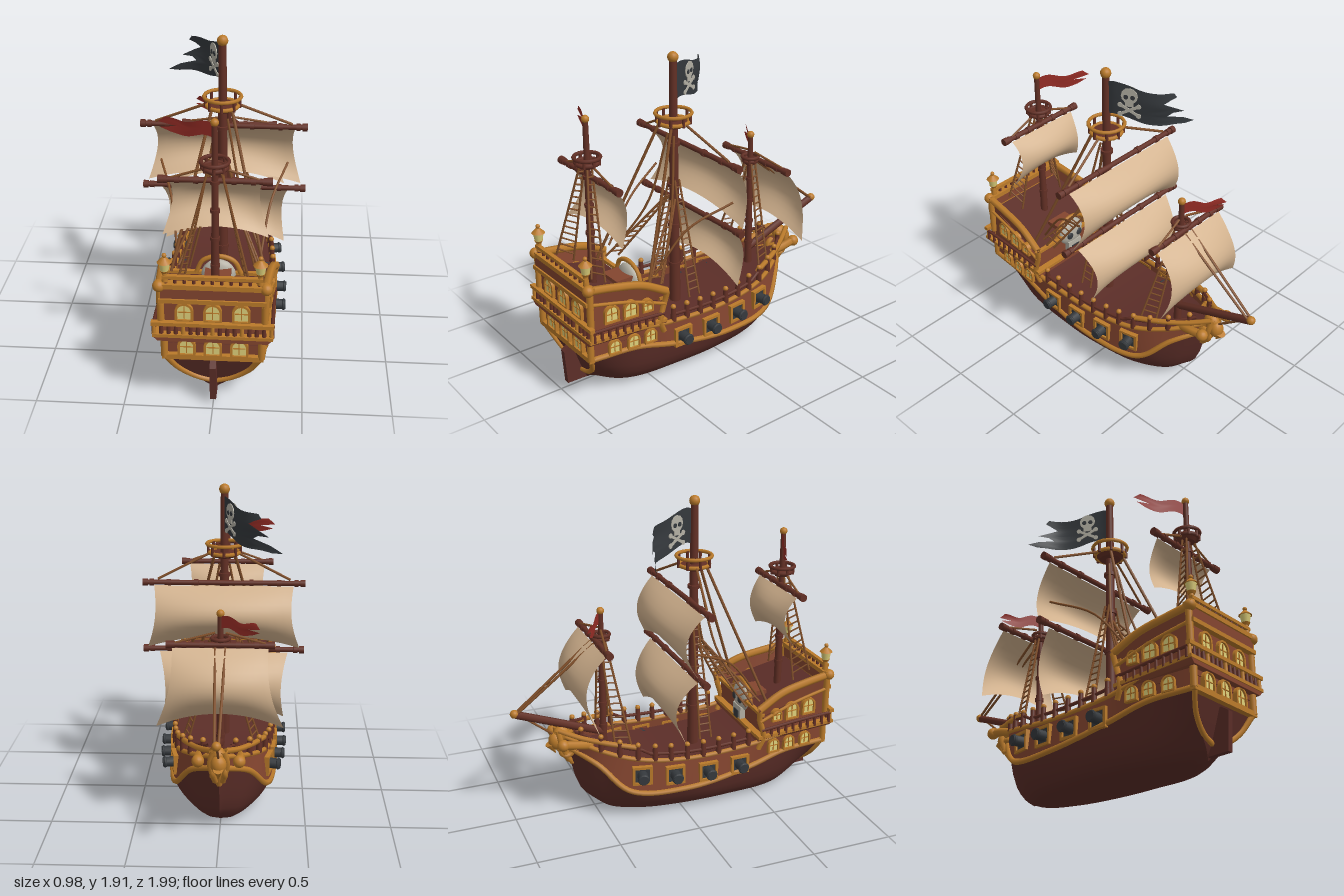
import * as THREE from 'three';

const V = (x, y, z) => new THREE.Vector3(x, y, z);
const lerp = THREE.MathUtils.lerp;
const paint = (name, color) => Object.assign(new THREE.MeshStandardMaterial({ color, side: THREE.DoubleSide }), { name });
const hullRed = paint('dark hull', 0x5c2e28), plank = paint('plank', 0x84452f), wood = paint('mast wood', 0x633025);
const gold = paint('gold trim', 0xba7a2a), canvas = paint('canvas', 0xd2b28e), iron = paint('iron', 0x35393d);
const glass = paint('window glass', 0xded07a), red = paint('red cloth', 0x942c25), rope = paint('rope', 0x82502a), bone = paint('bone', 0xb4b0a4);

export function createModel() {
  const ship = new THREE.Group();
  ship.name = 'ship';
  const add = (name, geo, mat, x = 0, y = 0, z = 0, parent = ship) => {
    const m = new THREE.Mesh(geo, mat);
    m.name = name;
    m.position.set(x, y, z);
    parent.add(m);
    return m;
  };
  const box = (name, mat, w, h, d, x, y, z, p) => add(name, new THREE.BoxGeometry(w, h, d), mat, x, y, z, p);
  const cyl = (name, mat, r1, r2, h, x, y, z, p) => add(name, new THREE.CylinderGeometry(r1, r2, h, 12), mat, x, y, z, p);
  const ball = (name, mat, r, x, y, z, p) => add(name, new THREE.SphereGeometry(r, 14, 10), mat, x, y, z, p);
  const tube = (name, mat, pts, r, seg = 40) => add(name, new THREE.TubeGeometry(new THREE.CatmullRomCurve3(pts), seg, r, 6), mat);
  const line = (name, mat, a, b, r = 0.007) => tube(name, mat, [a, b], r, 1);
  const ring = (name, mat, R, r, x, y, z) => { add(name, new THREE.TorusGeometry(R, r, 6, 20), mat, x, y, z).rotation.x = Math.PI / 2; };

  // Surface through rows of points
  const grid = (name, mat, rows, flip) => {
    const n = rows[0].length, idx = [];
    for (let i = 0; i < rows.length - 1; i++) for (let j = 0; j < n - 1; j++) {
      const a = i * n + j, b = a + 1, c = a + n, d = c + 1;
      if (flip) idx.push(a, c, b, b, c, d); else idx.push(a, b, c, b, d, c);
    }
    const g = new THREE.BufferGeometry().setFromPoints(rows.flat());
    g.setIndex(idx);
    g.computeVertexNormals();
    return add(name, g, mat);
  };
  // Box whose aft and fore ends are each [half width low, half width high, y0, y1, z]
  const taper = (name, mat, aft, fore) => {
    const g = new THREE.BoxGeometry(2, 2, 2), p = g.attributes.position;
    for (let i = 0; i < p.count; i++) {
      const e = p.getZ(i) > 0 ? aft : fore, up = p.getY(i) > 0 ? 1 : 0;
      p.setXYZ(i, p.getX(i) * e[up], e[2 + up], e[4]);
    }
    g.computeVertexNormals();
    return add(name, g, mat);
  };

  // Hull lines, stern to bow: keel, chine, bilge, wale, sheer
  const levels = [
    [[0, 0, .82], [0, 0, .65], [0, 0, .3], [0, 0, 0], [0, 0, -.25], [0, 0, -.4], [0, 0, -.45]],
    [[.06, .06, .85], [.15, 0, .65], [.2, 0, .3], [.2, 0, 0], [.16, 0, -.25], [.07, 0, -.42], [0, .02, -.48]],
    [[.17, .16, .885], [.24, .09, .65], [.28, .08, .3], [.28, .08, 0], [.23, .08, -.3], [.12, .1, -.48], [0, .13, -.585]],
    [[.27, .3, .93], [.295, .29, .65], [.315, .23, .4], [.32, .17, 0], [.27, .19, -.35], [.165, .35, -.52], [0, .43, -.67]],
    [[.265, .44, .94], [.31, .42, .65], [.31, .38, .4], [.3, .36, 0], [.26, .39, -.3], [.17, .44, -.5], [.02, .5, -.68]],
  ].map(l => new THREE.CatmullRomCurve3(l.map(p => V(...p))));
  const N = 40, ts = Array.from({ length: N + 1 }, (_, j) => j / N);
  const flipX = (p, s) => V(p.x * s, p.y, p.z);
  const lower = ts.map(t => new THREE.CatmullRomCurve3(levels.slice(0, 4).map(c => c.getPoint(t))).getPoints(9));
  const sheer = ts.map(t => levels[4].getPoint(t)), wale = ts.map(t => levels[3].getPoint(t));
  for (const s of [1, -1]) {
    grid('lowerHull', hullRed, Array.from({ length: 10 }, (_, i) => lower.map(c => flipX(c[i], s))), s < 0);
    grid('upperHull', plank, [wale, sheer].map(r => r.map(p => flipX(p, s))), s < 0);
    tube('wale', gold, wale.map(p => flipX(p, s)), .018, 60);
    tube('sheerRail', gold, sheer.map(p => flipX(p, s)), .015, 60);
    tube('sternTrim', gold, [V(s * .26, .29, .94), V(s * .2, .19, .9), V(s * .1, .11, .87), V(0, .075, .86)], .016, 16);
  }
  grid('transomLow', hullRed, lower[0].map(p => [flipX(p, -1), p]));
  grid('transomHigh', plank, [wale[0], sheer[0]].map(p => [flipX(p, -1), p]));
  grid('mainDeck', hullRed, [-1, 1].map(s => sheer.map(p => V(p.x * s * .99, p.y - .06, p.z))), true);
  tube('stem', gold, [V(0, .31, -.63), V(0, .42, -.675), V(0, .5, -.7)], .02, 20);
  const rud = new THREE.Shape([[.81, .015], [.96, .02], [.975, .24], [.93, .27], [.86, .26]].map(p => new THREE.Vector2(...p)));
  const rudder = add('rudder', new THREE.ExtrudeGeometry(rud, { depth: .035, bevelEnabled: false }), hullRed, .0175);
  rudder.rotation.y = -Math.PI / 2;

  // Mount a group on the side of the ship, its local +z pointing outward
  const near = (c, z) => c.reduce((a, p) => Math.abs(p.z - z) < Math.abs(a.z - z) ? p : a);
  const fineW = levels[3].getPoints(300), fineS = levels[4].getPoints(300);
  const hullX = (z, y) => {
    const a = near(fineW, z), b = near(fineS, z);
    return lerp(a.x, b.x, (y - a.y) / (b.y - a.y));
  };
  const castleX = z => lerp(.32, .275, (z - .47) / .47);
  const mount = (name, fx, s, z, y) => {
    const g = new THREE.Group();
    g.name = name;
    g.position.set(s * fx(z, y), y, z);
    g.rotation.y = s * Math.atan2(1, -(fx(z + .04, y) - fx(z - .04, y)) / .08);
    ship.add(g);
    return g;
  };
  // Arched window with frame and bars
  const arch = (w, h) => {
    const s = new THREE.Shape();
    s.moveTo(-w, -h); s.lineTo(w, -h); s.lineTo(w, h - w); s.absarc(0, h - w, w, 0, Math.PI); s.lineTo(-w, -h);
    return s;
  };
  const windowOn = (g, k = 1) => {
    const f = arch(.05 * k, .058 * k);
    f.holes.push(arch(.037 * k, .046 * k));
    add('windowFrame', new THREE.ExtrudeGeometry(f, { depth: .03, bevelEnabled: false }), gold, 0, 0, -.01, g);
    add('windowPane', new THREE.ShapeGeometry(arch(.039 * k, .048 * k)), glass, 0, 0, .009, g);
    box('windowBar', gold, .005, .08 * k, .006, 0, 0, .011, g);
    box('windowBar', gold, .07 * k, .005, .006, 0, 0, .011, g);
  };

  // Stern castle
  taper('sternCabin', plank, [.28, .27, .43, .67, .94], [.31, .32, .4, .55, .5]);
  taper('castleDeck', hullRed, [.265, .265, .66, .675, .935], [.31, .31, .54, .555, .505]);
  taper('cabinLedge', plank, [.3, .325, .415, .44, .975], [.32, .33, .39, .41, .46]);
  taper('cabinLedgeTrim', gold, [.33, .33, .44, .46, .98], [.335, .335, .41, .43, .46]);
  box('lowerLedge', gold, .56, .03, .04, 0, .3, .94);
  box('balconyRail', gold, .67, .022, .03, 0, .525, .965);
  box('upperLedge', gold, .58, .025, .04, 0, .67, .955);
  box('taffrail', plank, .56, .08, .03, 0, .71, .95);
  box('taffrailCap', gold, .62, .028, .05, 0, .76, .95);
  box('topRail', gold, .54, .02, .025, 0, .81, .95);
  box('deckHatch', plank, .15, .03, .13, 0, .6, .57);
  box('frontDeckRail', gold, .64, .02, .025, 0, .565, .49);
  for (let i = -8; i <= 8; i++) cyl('balconyBaluster', i % 4 ? wood : gold, .009, .013, .07, i * .04, .487, .962);
  for (let i = -5; i <= 5; i++) cyl('topBaluster', wood, .008, .01, .05, i * .05, .79, .95);
  for (const [y, w] of [[.365, .145], [.59, .155]]) for (const x of [-w, 0, w]) {
    const g = new THREE.Group();
    g.name = 'sternWindow';
    g.position.set(x, y, .94);
    ship.add(g);
    windowOn(g);
  }
  for (const s of [1, -1]) {
    const rail = new THREE.CatmullRomCurve3([V(s * .285, .755, .96), V(s * .295, .73, .8), V(s * .31, .69, .62), V(s * .33, .61, .46)]).getPoints(16);
    grid('castleBulwark', plank, [rail.map(p => V(p.x * .95, lerp(.54, .66, (p.z - .47) / .47), p.z - .01)), rail], s < 0);
    tube('castleRail', gold, rail, .024, 24);
    tube('castleFrontEdge', gold, [V(s * .335, .61, .46), V(s * .32, .54, .47), V(s * .32, .42, .5), V(s * .31, .34, .47)], .018, 16);
    tube('castleBand', gold, [V(s * .29, .665, .95), V(s * .31, .61, .7), V(s * .33, .53, .47)], .01, 12);
    tube('balconySideRail', wood, [V(s * .325, .51, .96), V(s * .325, .495, .75), V(s * .33, .47, .48)], .01, 12);
    for (let i = 0; i < 10; i++) cyl('sideBaluster', wood, .008, .011, .06, s * .325, .475 - i * .003, .95 - i * .05);
    for (const [y, x] of [[.37, .268], [.57, .283], [.71, .285]]) cyl('cornerPost', gold, .02, .02, .14, s * x, y, .945);
    ball('railKnob', gold, .034, s * .288, .755, .955);
    for (const z of [.8, .68, .57]) {
      windowOn(mount('lowerSideWindow', hullX, s, z, .35), .8);
      windowOn(mount('upperSideWindow', castleX, s, z + .015, .57 - (.8 - z) * .07), z > .6 ? .95 : .7);
    }
    // Lantern
    const lx = s * .255;
    cyl('lanternPost', gold, .012, .018, .07, lx, .815, .945);
    cyl('lanternGlass', glass, .032, .022, .055, lx, .872, .945);
    cyl('lanternBase', gold, .026, .018, .015, lx, .842, .945);
    cyl('lanternRoof', gold, .01, .04, .03, lx, .912, .945);
    ball('lanternFinial', gold, .013, lx, .938, .945);

    // Cannons in framed ports
    for (const [z, y] of [[.34, .265], [.13, .26], [-.08, .27], [-.28, .29]]) {
      const g = mount('cannonPort', hullX, s, z, y);
      for (const k of [-1, 1]) {
        box('portFrame', gold, .12, .016, .03, 0, k * .052, .005, g);
        box('portFrame', gold, .016, .12, .03, k * .052, 0, .005, g);
      }
      box('portHole', iron, .09, .09, .008, 0, 0, .004, g);
      cyl('cannonBarrel', iron, .029, .036, .13, 0, 0, .012, g).rotation.x = Math.PI / 2;
      add('cannonMuzzle', new THREE.TorusGeometry(.026, .01, 6, 14), iron, 0, 0, .065, g);
    }

    // Deck railing posts and hand rail
    const hand = sheer.filter(p => p.z < .44 && p.z > -.64).map(p => V(s * p.x, p.y + (p.z < -.25 ? .065 : .045), p.z));
    tube('handRail', wood, hand, .01, 40);
    for (let z = .4; z > -.62; z -= .1) {
      const p = near(fineS, z);
      cyl('railPost', wood, .014, .018, .09, s * p.x, p.y + .045, p.z);
      ball('postKnob', gold, .016, s * p.x, p.y + .095, p.z);
    }
    tube('bowRail', gold, [V(s * .26, .465, -.29), V(s * .19, .495, -.47), V(s * .11, .52, -.61), V(s * .04, .555, -.72)], .017, 20);
    // Catheads and bow scrolls
    tube('cathead', gold, [V(s * .11, .46, -.54), V(s * .12, .48, -.63), V(s * .115, .49, -.7)], .026, 12);
    ball('catheadKnob', gold, .036, s * .115, .49, -.715);
    add('bowScroll', new THREE.TorusGeometry(.04, .017, 6, 14), gold, s * .035, .42, -.67).rotation.y = Math.PI / 2;
  }

  // Carved skull and crest set into the castle front
  ball('carvedSkull', bone, .1, 0, .565, .503).scale.set(1, .95, .42);
  box('carvedJaw', bone, .11, .09, .05, 0, .465, .49);
  box('carvedMouth', iron, .06, .055, .008, 0, .45, .463);
  for (const s of [1, -1]) ball('eyeSocket', iron, .025, s * .038, .56, .466).scale.z = .4;
  tube('skullCrest', gold, [V(-.13, .57, .5), V(-.09, .65, .5), V(0, .68, .5), V(.09, .65, .5), V(.13, .57, .5)], .014, 20);

  // Figurehead
  ball('figureheadNeck', gold, .05, 0, .515, -.695).scale.set(.8, 1, 1);
  ball('figureheadHead', gold, .045, 0, .475, -.73).scale.y = 1.25;
  add('figureheadMuzzle', new THREE.ConeGeometry(.03, .08, 8), gold, 0, .425, -.75).rotation.x = Math.PI * .85;
  for (const s of [1, -1]) tube('figureheadMane', gold, [V(s * .03, .55, -.72), V(s * .048, .48, -.71), V(s * .035, .4, -.69), V(s * .02, .34, -.655)], .018, 12);

  // Bowsprit
  tube('bowsprit', wood, [V(0, .48, -.42), V(0, .685, -.965)], .024, 2);
  ball('bowspritTip', gold, .026, 0, .69, -.972);
  for (const s of [1, -1]) line('foreStay', rope, V(s * .03, 1.1, -.45), V(s * .012, .7, -.95), .008);
  line('bobStay', rope, V(0, .66, -.92), V(0, .5, -.72));

  // Masts with lookout platforms
  const mast = (z, y0, y1, r, nestY, nestR, nestH, railMat) => {
    cyl('mast', wood, r * .65, r, y1 - y0, 0, (y0 + y1) / 2, z);
    ball('mastBall', gold, r * .95, 0, y1, z);
    cyl('nestFloor', wood, nestR * .85, nestR * .6, .03, 0, nestY, z);
    ring('nestRim', railMat, nestR * .85, .012, 0, nestY + .012, z);
    ring('nestRail', railMat, nestR, .011, 0, nestY + nestH, z);
    for (let i = 0; i < 8; i++) cyl('nestPost', wood, .009, .009, nestH, nestR * .92 * Math.cos(i * Math.PI / 4), nestY + nestH / 2, z + nestR * .92 * Math.sin(i * Math.PI / 4));
    for (let k = 1; k < 5; k++) cyl('mastBand', wood, r * 1.12, r * 1.12, .02, 0, lerp(y0, y1, k / 6), z);
  };
  mast(.16, .3, 1.86, .034, 1.465, .107, .065, gold);
  mast(.75, .6, 1.62, .024, 1.355, .075, .045, wood);
  mast(-.43, .38, 1.26, .024, 1.08, .05, .035, wood);

  // Sails: [top y, top z], [bottom y, bottom z], bulge, half widths, foot arch, yard half length
  const sail = ([y0, z0], [y1, z1], bulge, w0, w1, foot, yardW) => {
    const rows = [];
    for (let i = 0; i <= 12; i++) {
      const v = i / 12, b = Math.sin(Math.PI * Math.pow(v, .9));
      rows.push(Array.from({ length: 17 }, (_, j) => {
        const u = j / 8 - 1;
        return V(u * (lerp(w0, w1, v) - .03 * b), lerp(y0, y1, v) + foot * (1 - u * u) * v * v, lerp(z0, z1, v) - bulge * b * (1 - .3 * u * u));
      }));
    }
    grid('sail', canvas, rows, true);
    const yard = (name, r, len, x) => { cyl(name, wood, r, r, len, x, y0 + .015, z0 + .015).rotation.z = Math.PI / 2; };
    yard('yard', .016, yardW * 2, 0);
    for (const s of [1, -1]) {
      for (const f of [.35, .7, .92]) yard('yardBand', .021, .025, s * yardW * f);
      yard('yardEnd', .023, .03, s * yardW);
    }
  };
  sail([1.295, .05], [.92, .01], .125, .42, .46, .07, .475);
  sail([.885, .025], [.49, -.035], .125, .39, .37, .09, .475);
  sail([1.27, .725], [.94, .725], .1, .25, .29, .06, .29);
  sail([1.075, -.49], [.63, -.56], .13, .27, .36, .08, .29);

  // Rigging: rope ladders and stays
  const shroud = (s, a, b, top, n) => {
    line('shroud', rope, V(s * a[0], a[1], a[2]), V(s * top[0], top[1], top[2] - .015));
    line('shroud', rope, V(s * b[0], b[1], b[2]), V(s * top[0], top[1], top[2] + .015));
    for (let i = 1; i < n; i++) {
      const P = (q, d) => V(s * lerp(q[0], top[0], i / n), lerp(q[1], top[1], i / n), lerp(q[2], top[2] + d, i / n));
      line('ratline', rope, P(a, -.015), P(b, .015), .005);
    }
  };
  for (const s of [1, -1]) {
    shroud(s, [.23, .6, .42], [.23, .62, .51], [.03, 1.0, .19], 12);
    shroud(s, [.2, .42, .125], [.2, .42, .2], [.03, 1.12, .16], 16);
    shroud(s, [.17, .7, .77], [.19, .76, .87], [.04, 1.34, .76], 15);
    shroud(s, [.19, .48, -.42], [.22, .48, -.33], [.03, 1.08, -.43], 15);
    line('mainStay', rope, V(s * .27, .6, .55), V(s * .06, 1.46, .22), .009);
    tube('backStay', rope, [V(s * .26, .62, .45), V(s * .12, .95, .27), V(s * .03, 1.4, .18)], .007, 12);
    line('yardLift', rope, V(s * .08, 1.48, .14), V(s * .4, 1.33, .07), .008);
    tube('yardBrace', rope, [V(s * .38, 1.06, .02), V(s * .29, .93, .28), V(s * .24, .68, .48)], .007, 12);
    line('aftLift', rope, V(s * .05, 1.36, .75), V(s * .25, 1.29, .74));
    line('foreLift', rope, V(s * .03, 1.15, -.44), V(s * .26, 1.1, -.48));
  }

  // Ragged flags: path in plan, rows of differing length, lower edge swinging out
  const flag = (name, mat, pts, y, h, droop, swing, ends) => {
    const c = new THREE.CatmullRomCurve3(pts.map(([x, z]) => V(x, 0, z)));
    grid(name, mat, ends.map((L, i) => Array.from({ length: 21 }, (_, j) => {
      const u = j / 20 * L, v = i / (ends.length - 1), p = c.getPoint(u);
      return V(p.x + swing * Math.sin(v * 5) * u ** 3, y - h * v - droop * u * u + .012 * Math.sin(u * 9), p.z);
    })));
  };
  flag('mainFlag', iron, [[0, .14], [-.01, .1], [-.05, .02], [-.09, -.06], [-.15, -.14], [-.22, -.18], [-.31, -.21]], 1.815, .21, .08, .04, [.8, .86, .78, .7, .82, .96, .8, .72, .9, 1, .9]);
  flag('aftPennant', red, [[0, .74], [-.1, .7], [-.2, .65], [-.33, .61]], 1.605, .08, .03, .02, [.85, 1, .7, .9, .75]);
  flag('forePennant', red, [[0, -.44], [-.08, -.49], [-.15, -.53], [-.24, -.58]], 1.245, .07, .02, .02, [.85, 1, .7, .9, .75]);

  // Skull and crossed bones on both faces of the flag
  const emblem = new THREE.Group();
  emblem.name = 'flagEmblem';
  emblem.position.set(-.05, 1.71, .02);
  emblem.rotation.y = Math.atan2(.16, -.08);
  ship.add(emblem);
  const disc = (name, mat, r, x, y, z) => { cyl(name, mat, r, r, .005, x, y, z, emblem).rotation.x = Math.PI / 2; };
  for (const f of [1, -1]) {
    disc('skullFace', bone, .05, 0, .04, f * .012);
    box('skullJaw', bone, .05, .04, .005, 0, -.008, f * .012, emblem);
    for (const s of [1, -1]) {
      disc('skullEye', iron, .014, s * .02, .033, f * .015);
      box('crossBone', bone, .12, .017, .005, 0, -.052, f * .012, emblem).rotation.z = s * .5;
      for (const e of [1, -1]) disc('boneEnd', bone, .015, e * .055, -.052 + s * .03, f * .012);
    }
  }
  return ship;
}
